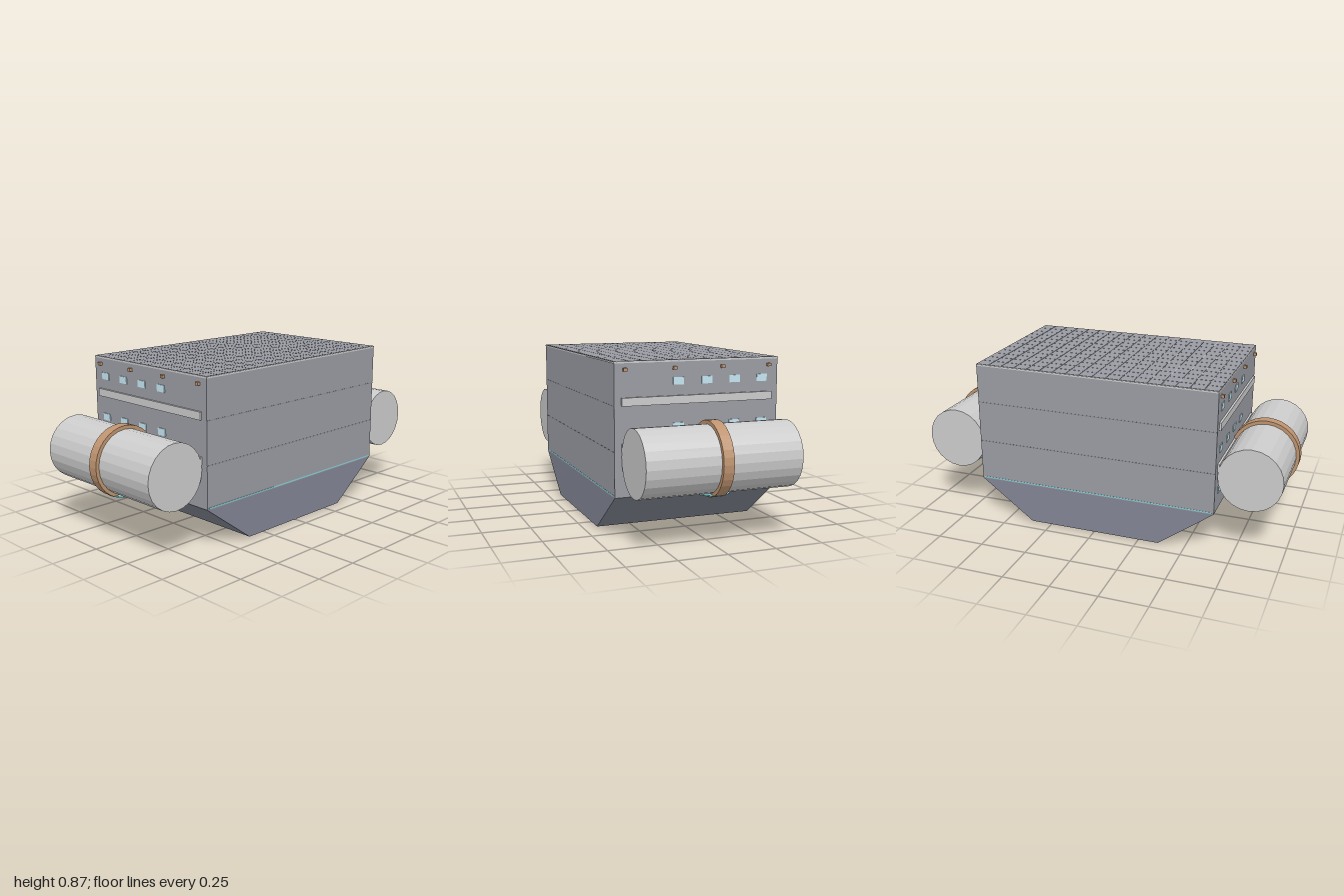
import * as THREE from 'three';

const mat = (color, extra = {}) => new THREE.MeshStandardMaterial({ color, ...extra });
const pale = mat(0xcccccc, { flatShading: true });
const grey = mat(0x9a9ca3);
const seamGrey = mat(0x8b8d94);
const slate = mat(0x828694, { flatShading: true });
const copper = mat(0xbf9470, { flatShading: true });
const glass = mat(0xc4e6f2);
const teal = mat(0x86d4d8);

const W = 0.86, D = 1.3, BASE = 0.22, TOP = 0.862;

function add(parent, name, geometry, material, x = 0, y = 0, z = 0) {
  const mesh = new THREE.Mesh(geometry, material);
  mesh.name = name;
  mesh.position.set(x, y, z);
  parent.add(mesh);
  return mesh;
}
const box = (w, h, d) => new THREE.BoxGeometry(w, h, d);

// Everything mounted on one end wall, built for the +z end
function endFittings(side) {
  const end = new THREE.Group();
  end.name = side > 0 ? 'frontFittings' : 'backFittings';
  const wall = D / 2;

  // Rows of windows
  for (const y of [0.33, 0.55, 0.77])
    for (let i = 0; i < 4; i++)
      add(end, 'window', box(0.056, 0.036, 0.008), glass, -0.342 + i * 0.149, y, side * wall);

  // Horizontal rails
  for (const y of [0.46, 0.68])
    add(end, 'rail', box(0.79, 0.04, 0.02), pale, 0, y, side * (wall + 0.001));

  // Lamps under the roof edge
  for (let i = 0; i < 4; i++)
    add(end, 'lamp', box(0.018, 0.016, 0.016), copper, -0.379 + i * 0.2525, 0.833, side * (wall + 0.008));

  // Side drum, its strap and the thruster disc below
  const z = side * 0.817, y = 0.416;
  add(end, 'drum', new THREE.CylinderGeometry(0.165, 0.165, 0.79, 24).rotateZ(Math.PI / 2), pale, 0, y, z);
  add(end, 'strap', new THREE.CylinderGeometry(0.183, 0.183, 0.054, 32).rotateZ(Math.PI / 2), copper, 0, y, z);
  add(end, 'drumDisc', new THREE.CylinderGeometry(0.085, 0.085, 0.004, 24), teal, 0, 0.253, z);
  return end;
}

export function createModel() {
  const model = new THREE.Group();
  model.name = 'cargoModule';

  // Main block and roof plate
  add(model, 'body', box(W, TOP - BASE, D), grey, 0, (TOP + BASE) / 2, 0);
  add(model, 'roofPlate', box(W + 0.004, 0.008, D), pale, 0, TOP + 0.004, 0);

  // Roof tiles with narrow joints
  const tiles = new THREE.Group();
  tiles.name = 'roofTiles';
  model.add(tiles);
  const nx = 12, nz = 18, sx = W / nx, sz = D / nz;
  const tile = box(sx - 0.003, 0.003, sz - 0.003);
  for (let i = 0; i < nx; i++)
    for (let j = 0; j < nz; j++)
      add(tiles, 'roofTile', tile, grey, (i + 0.5) * sx - W / 2, TOP + 0.0085, (j + 0.5) * sz - D / 2);

  // Tapered lower hull
  const outline = new THREE.Shape([
    new THREE.Vector2(-0.36, 0.004), new THREE.Vector2(0.36, 0.004),
    new THREE.Vector2(D / 2, BASE), new THREE.Vector2(-D / 2, BASE),
  ]);
  const hull = new THREE.ExtrudeGeometry(outline, { depth: W, bevelEnabled: false });
  hull.translate(0, 0, -W / 2).rotateY(Math.PI / 2);
  add(model, 'lowerHull', hull, slate);

  // Underside disc and cross strip
  add(model, 'bellyDisc', new THREE.CylinderGeometry(0.13, 0.13, 0.005, 32), teal, 0, 0.0025, 0);
  add(model, 'bellyStrip', box(W, 0.004, 0.014), teal, 0, 0.003, 0);

  // Seams and trim along both long sides
  for (const s of [-1, 1]) {
    for (const y of [0.44, 0.66])
      add(model, 'sideSeam', box(0.002, 0.004, D), seamGrey, s * W / 2, y, 0);
    add(model, 'sideTrim', box(0.002, 0.006, D - 0.02), teal, s * W / 2, BASE + 0.007, 0);
  }

  model.add(endFittings(1), endFittings(-1));
  return model;
}
